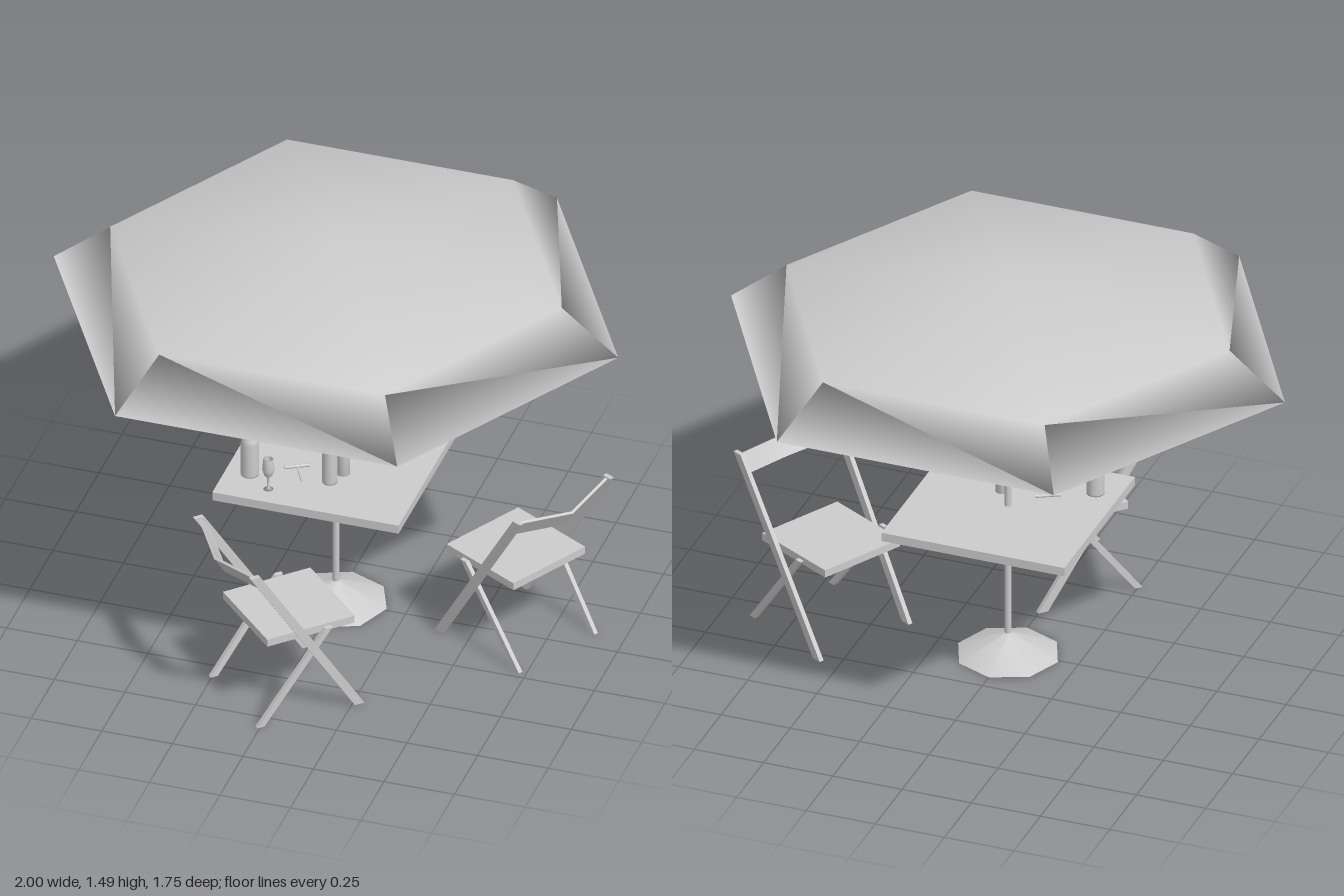
import * as THREE from 'three';
import { mergeVertices } from 'three/addons/utils/BufferGeometryUtils.js';

const grey = new THREE.MeshStandardMaterial({ color: 0xcccccc });
grey.name = 'light grey';

function add(parent, name, geometry, x = 0, y = 0, z = 0) {
  const mesh = new THREE.Mesh(geometry, grey);
  mesh.name = name;
  mesh.position.set(x, y, z);
  parent.add(mesh);
  return mesh;
}

function lathe(points, sides, phiStart = 0) {
  return new THREE.LatheGeometry(points.map(p => new THREE.Vector2(p[0], p[1])), sides, phiStart);
}

// Shares all corners so that the shading runs over every edge
function smooth(geometry) {
  geometry.deleteAttribute('uv');
  geometry.deleteAttribute('normal');
  const merged = mergeVertices(geometry, 1e-4);
  merged.computeVertexNormals();
  return merged;
}

// Slanted bar with level ends: a box sheared so it runs from a to b
function slantedBar(a, b, width, depth) {
  const geometry = new THREE.BoxGeometry(width, 1, depth);
  const p = geometry.attributes.position;
  for (let i = 0; i < p.count; i++) {
    const t = p.getY(i) + 0.5;
    p.setXYZ(i,
      p.getX(i) + a[0] + (b[0] - a[0]) * t,
      a[1] + (b[1] - a[1]) * t,
      p.getZ(i) + a[2] + (b[2] - a[2]) * t);
  }
  geometry.computeVertexNormals();
  return geometry;
}

// Folding chair facing its own +z
function makeChair(name) {
  const chair = new THREE.Group();
  chair.name = name;
  add(chair, 'seat', new THREE.BoxGeometry(0.33, 0.028, 0.33), 0, 0.32, 0);

  for (const s of [-1, 1]) {
    add(chair, 'longLeg', slantedBar([s * 0.195, 0, 0.165], [s * 0.208, 0.632, -0.235], 0.017, 0.036));
    add(chair, 'shortLeg', slantedBar([s * 0.174, 0, -0.197], [s * 0.184, 0.332, 0.055], 0.016, 0.027));
  }

  // Bowed back board, lying in the slope of the long legs
  const board = new THREE.BoxGeometry(0.41, 0.073, 0.01, 2, 1, 1);
  const p = board.attributes.position;
  for (let i = 0; i < p.count; i++) {
    if (Math.abs(p.getX(i)) < 0.01) p.setZ(i, p.getZ(i) - 0.053);
  }
  board.computeVertexNormals();
  const back = add(chair, 'backrest', board, 0, 0.597, -0.213);
  back.rotation.x = -Math.atan2(0.4, 0.632);
  return chair;
}

function makeBottle(radius) {
  return lathe([[0, 0], [radius, 0], [radius, 0.005], [radius, 0.125], [radius * 0.85, 0.143],
    [0.016, 0.162], [0.0145, 0.226], [0.0145, 0.23], [0, 0.23]], 14);
}

export function createModel() {
  const model = new THREE.Group();
  model.name = 'terraceSet';
  const cz = -0.01;

  // Parasol: the canopy is closed by a flat underside
  add(model, 'canopy', smooth(lathe([[0, 1.18], [1, 1.18], [0.8, 1.34], [0, 1.485]], 6, Math.PI / 2)), 0, 0, cz);
  add(model, 'pole', new THREE.CylinderGeometry(0.0115, 0.0115, 1.25, 10), 0, 0.625, cz);
  add(model, 'parasolBase', new THREE.CylinderGeometry(0.011, 0.18, 0.08, 8), 0, 0.04, cz);

  // Table
  add(model, 'tableTop', new THREE.BoxGeometry(0.66, 0.032, 0.66), 0, 0.557, cz + 0.002);

  // Chairs
  const frontChair = makeChair('frontChair');
  frontChair.position.set(0.014, 0, 0.545);
  frontChair.rotation.y = Math.PI * 0.75;
  const sideChair = makeChair('sideChair');
  sideChair.position.set(0.63, 0, -0.032);
  sideChair.rotation.y = -2.075;
  model.add(frontChair, sideChair);

  // Tableware
  const top = 0.573;
  add(model, 'bottle', makeBottle(0.031), -0.245, top, 0.174);
  add(model, 'bottle', makeBottle(0.026), 0.026, top, 0.136);
  add(model, 'tumbler', lathe([[0, 0], [0.023, 0], [0.023, 0.115], [0.02, 0.115], [0.02, 0.01], [0, 0.01]], 14),
    0.053, top, 0.073);
  add(model, 'wineGlass', lathe([[0, 0], [0.017, 0], [0.004, 0.006], [0.004, 0.045], [0.015, 0.058],
    [0.021, 0.08], [0.017, 0.12], [0.014, 0.12], [0.017, 0.08], [0, 0.06]], 14), -0.157, top, 0.243);

  // Corkscrew lying on the table
  const corkscrew = new THREE.Group();
  corkscrew.name = 'corkscrew';
  corkscrew.position.set(-0.106, top + 0.006, 0.09);
  corkscrew.rotation.y = 0.5;
  add(corkscrew, 'handle', new THREE.CylinderGeometry(0.006, 0.006, 0.085, 8)).rotation.z = Math.PI / 2;
  add(corkscrew, 'shaft', new THREE.CylinderGeometry(0.004, 0.003, 0.09, 8), 0, 0, 0.045).rotation.x = Math.PI / 2;
  model.add(corkscrew);

  return model;
}
